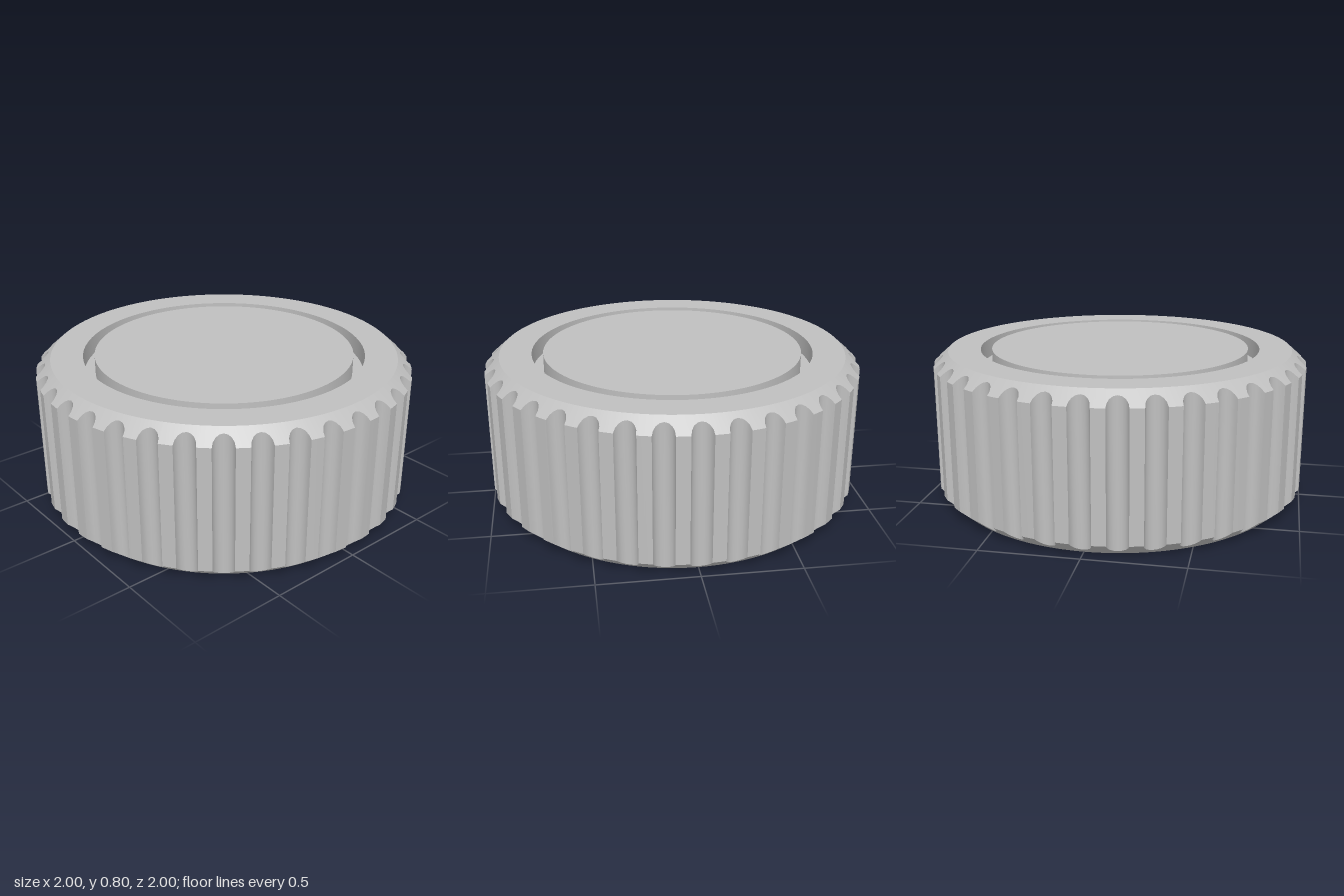
import * as THREE from 'three';
import { toCreasedNormals } from 'three/addons/utils/BufferGeometryUtils.js';

const GROOVES = 36, GROOVE_R = 0.053, HEIGHT = 0.8;
const FACE_R = 0.92, CHAMFER = 0.07;

// Outline of the grip: round grooves separated by short arcs, as {angle, radius}
function gripOutline() {
  const pts = [], step = (Math.PI * 2) / GROOVES, end = Math.acos(GROOVE_R / 2), n = 8;
  for (let g = 0; g < GROOVES; g++) {
    let last = 0;
    for (let i = 0; i <= n; i++) {
      const a = -end + (2 * end * i) / n;
      const x = 1 - GROOVE_R * Math.cos(a), z = GROOVE_R * Math.sin(a);
      last = Math.atan2(z, x);
      pts.push({ angle: g * step + last, radius: Math.hypot(x, z) });
    }
    // middle of the tooth
    pts.push({ angle: (g + 0.5) * step, radius: 1 });
  }
  return pts;
}

// Sweep a profile of [radius, y] around the axis; the profile may vary with the outline
function sweep(name, outline, profile, material) {
  const pos = [];
  const at = ({ angle }, [r, y]) => [r * Math.cos(angle), y, r * Math.sin(angle)];
  outline.forEach((p, i) => {
    const q = outline[(i + 1) % outline.length];
    const P = profile(p.radius), Q = profile(q.radius);
    for (let k = 0; k < P.length - 1; k++) {
      const a = at(p, P[k]), b = at(p, P[k + 1]), c = at(q, Q[k + 1]), d = at(q, Q[k]);
      if (P[k + 1][0] > 0) pos.push(...a, ...b, ...c);
      if (P[k][0] > 0) pos.push(...a, ...c, ...d);
    }
  });
  const geo = new THREE.BufferGeometry();
  geo.setAttribute('position', new THREE.Float32BufferAttribute(pos, 3));
  const mesh = new THREE.Mesh(toCreasedNormals(geo, 0.5), material);
  mesh.name = name;
  return mesh;
}

export function createModel() {
  const group = new THREE.Group();
  group.name = 'knurledKnob';
  const grey = new THREE.MeshStandardMaterial({ color: 0xc0c0c0 });
  grey.name = 'grey';
  const outline = gripOutline();

  // Underside with the blind shaft hole
  group.add(sweep('underside', outline, () => [[0, 0.5], [0.31, 0.5], [0.31, 0], [FACE_R, 0]], grey));

  // Grooved grip, chamfered at both ends
  group.add(sweep('grip', outline, (r) => {
    const drop = (CHAMFER * (r - FACE_R)) / (1 - FACE_R);
    return [[FACE_R, 0], [r, drop], [r, HEIGHT - drop], [FACE_R, HEIGHT]];
  }, grey));

  // Top rim, ring channel and centre disc
  group.add(sweep('topRim', outline, () => [[FACE_R, HEIGHT], [0.75, HEIGHT]], grey));
  group.add(sweep('ringChannel', outline,
    () => [[0.75, HEIGHT], [0.75, 0.7], [0.69, 0.7], [0.69, HEIGHT]], grey));
  group.add(sweep('centreDisc', outline, () => [[0.69, HEIGHT], [0, HEIGHT]], grey));
  return group;
}
